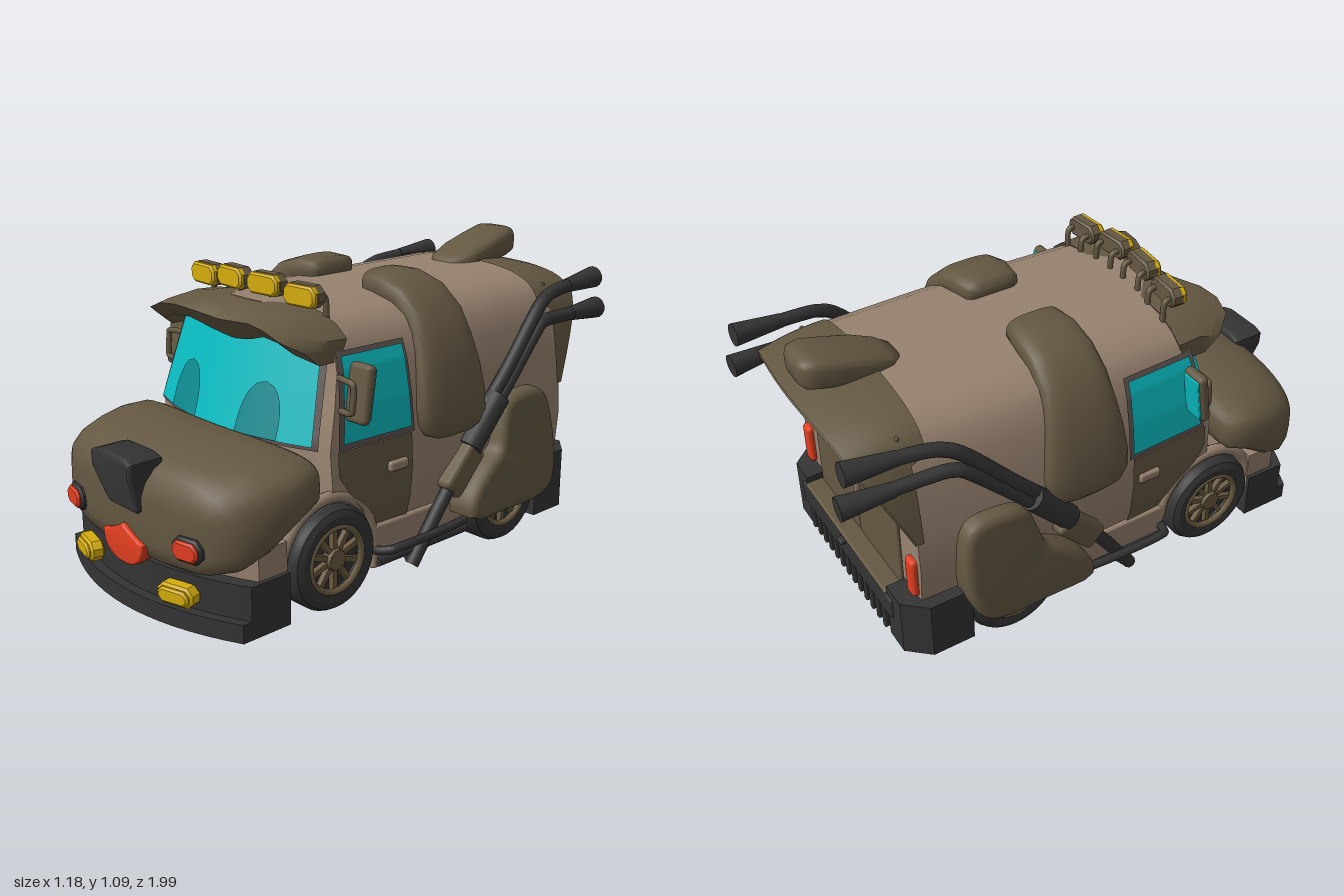
import * as THREE from 'three';
import { toCreasedNormals } from 'three/addons/utils/BufferGeometryUtils.js';
import { RoundedBoxGeometry } from 'three/addons/geometries/RoundedBoxGeometry.js';
import { ParametricGeometry } from 'three/addons/geometries/ParametricGeometry.js';

const V = (x, y, z) => new THREE.Vector3(x, y, z);
const lerp = THREE.MathUtils.lerp;

export function createModel() {
  const M = {};
  const colors = { tan: 0x97826f, brown: 0x645842, black: 0x343434, teal: 0x08babf, darkTeal: 0x0e888d,
    yellow: 0xd4ac0c, red: 0xe03e20, rimBronze: 0x6a5b40, steel: 0x808080, trim: 0x5c5350 };
  for (const k in colors) {
    M[k] = new THREE.MeshStandardMaterial({ color: colors[k] });
    M[k].name = k;
  }
  M.brown.side = M.teal.side = THREE.DoubleSide;

  const model = new THREE.Group();
  model.name = 'van';
  const side = new THREE.Group(); // everything that exists once per side
  side.name = 'leftSide';

  // ---- helpers ----
  const add = (parent, name, geo, mat, x = 0, y = 0, z = 0) => {
    const m = new THREE.Mesh(geo, M[mat]);
    m.name = name;
    m.position.set(x, y, z);
    parent.add(m);
    return m;
  };
  const box = (w, h, d, r = 0.012) => new RoundedBoxGeometry(w, h, d, 2, Math.min(r, w / 2.1, h / 2.1, d / 2.1));
  // skin over closed rings of equal length, capped, always facing outwards
  const loft = (rings, crease = 0.75) => {
    const n = rings[0].length, pts = rings.flat(), idx = [];
    for (let i = 0; i < rings.length - 1; i++) for (let j = 0; j < n; j++) {
      const a = i * n + j, b = i * n + (j + 1) % n;
      idx.push(a, b, a + n, b, b + n, a + n);
    }
    [0, rings.length - 1].forEach((r, k) => {
      const c = V(0, 0, 0);
      rings[r].forEach(p => c.addScaledVector(p, 1 / n));
      pts.push(c);
      for (let j = 0; j < n; j++) {
        const a = r * n + j, b = r * n + (j + 1) % n;
        idx.push(pts.length - 1, k ? a : b, k ? b : a);
      }
    });
    let vol = 0;
    for (let i = 0; i < idx.length; i += 3) vol += pts[idx[i]].dot(pts[idx[i + 1]].clone().cross(pts[idx[i + 2]]));
    if (vol < 0) idx.reverse();
    const g = new THREE.BufferGeometry().setFromPoints(pts);
    g.setIndex(idx);
    return toCreasedNormals(g, crease);
  };
  const sup = (a, e = 0.55) => [Math.cos(a), Math.sin(a)].map(c => Math.sign(c) * Math.abs(c) ** e);
  const angles = n => Array.from({ length: n }, (_, i) => i / n * Math.PI * 2);
  const zRing = (z, w, y0, y1, bend = 0) => angles(36).map(a => {
    const [c, s] = sup(a), x = c * w;
    return V(x, (y0 + y1) / 2 + s * (y1 - y0) / 2, z - bend * x * x);
  });
  const sheet = (f, nu = 16, nv = 8) => new ParametricGeometry((u, v, t) => t.set(...f(u, v)), nu, nv);
  const extrude = (shape, depth, bevel, segs = 3) => toCreasedNormals(new THREE.ExtrudeGeometry(shape, { depth, curveSegments: 10,
    bevelEnabled: bevel > 0, bevelSize: bevel, bevelThickness: bevel, bevelSegments: segs }), 0.6);
  const poly = pts => new THREE.Shape(pts.map(p => new THREE.Vector2(...p)));
  // chamfered octagonal block, back at z = 0
  const octagon = (w, h, d, c, bevel) => {
    const a = w / 2 - bevel, b = h / 2 - bevel;
    return extrude(poly([[c - a, -b], [a - c, -b], [a, c - b], [a, b - c], [a - c, b], [c - a, b], [-a, b - c], [-a, c - b]]),
      d - 2 * bevel, bevel, 1).translate(0, 0, bevel);
  };
  const upright = (pts, y0, y1) => extrude(poly(pts), y1 - y0, 0).rotateX(-Math.PI / 2).translate(0, y0, 0); // plan points (x, -z)
  const tube = (pts, r) => new THREE.TubeGeometry(
    new THREE.CatmullRomCurve3(pts.map(p => V(...p)), false, 'catmullrom', 0.5), pts.length * 8, r, 10);
  const rod = (parent, name, mat, a, b, r0, r1 = r0) => {
    const A = V(...a), B = V(...b), d = B.clone().sub(A);
    const m = add(parent, name, new THREE.CylinderGeometry(r1, r0, d.length(), 14), mat);
    m.position.copy(A).add(B).multiplyScalar(0.5);
    m.quaternion.setFromUnitVectors(V(0, 1, 0), d.normalize());
  };

  // ---- body shell ----
  const prof = [[0.45, 0.2], [0.475, 0.3], [0.485, 0.42], [0.478, 0.54], [0.461, 0.67], [0.437, 0.79], [0.41, 0.86],
    [0.37, 0.913], [0.3, 0.948], [0.2, 0.967], [0.08, 0.975]];
  const taper = z => 1 - 0.1 * Math.max(0, z) - 0.08 * Math.max(0, -z - 0.3);
  const frontZ = (x, y) => 0.57 - 0.34 * Math.max(0, y - 0.55) - 0.5 * x * x;
  const outline = [...prof, ...prof.slice().reverse().map(([x, y]) => [-x, y])];
  const sideX = (y, z) => {
    let i = 0;
    while (i < prof.length - 2 && prof[i + 1][1] < y) i++;
    const [a, b] = [prof[i], prof[i + 1]];
    return lerp(a[0], b[0], (y - a[1]) / (b[1] - a[1])) * taper(z);
  };
  const bodyRings = ['front', 0.1, -0.1, -0.3, -0.5, -0.74].map(s => outline.map(([x, y]) => {
    const z = s === 'front' ? frontZ(x, y) : s;
    return V(x * taper(z), y, z);
  }));
  add(model, 'body', loft(bodyRings), 'tan');

  // ---- windshield with painted eyes ----
  const glass = (w0, w1, y0, y1, off) => sheet((u, v) => {
    const y = lerp(y0, y1, v), x = (2 * u - 1) * lerp(w0, w1, v);
    return [x, y, frontZ(x, y) + off];
  });
  add(model, 'windshieldFrame', glass(0.428, 0.38, 0.545, 0.9, 0.006), 'trim');
  add(model, 'windshield', glass(0.41, 0.36, 0.557, 0.89, 0.012), 'teal');
  for (const s of [-1, 1]) add(model, 'eye', sheet((u, v) => {
    const x = s * 0.197 + (2 * u - 1) * 0.088 * Math.sqrt(1 - v ** 2.6), y = 0.56 + v * 0.178;
    return [x, y, frontZ(x, y) + 0.017];
  }, 8, 16), 'darkTeal');

  // ---- brow visor ----
  const visor = [[0, 0.53, 0.845, 0.965], [0.1, 0.54, 0.86, 0.97], [0.2, 0.565, 0.89, 0.968], [0.28, 0.575, 0.888, 0.958],
    [0.35, 0.565, 0.86, 0.93], [0.4, 0.5, 0.82, 0.89]];
  const visorAll = [...visor.slice(1).reverse().map(([x, ...r]) => [-x, ...r]), ...visor];
  add(model, 'visor', loft(visorAll.map(([x, zf, b, t]) => [V(x, t, 0.33), V(x, t + 0.005, 0.42), V(x, t - 0.01, zf - 0.03),
    V(x, (b + t) / 2 + 0.015, zf + 0.012), V(x, b, zf - 0.05), V(x, b, 0.36)])), 'brown');

  // ---- muzzle, nose, tongue ----
  add(model, 'muzzle', loft([[0.565, 0.47, 0.38, 0.555], [0.59, 0.5, 0.35, 0.566], [0.68, 0.517, 0.31, 0.567],
    [0.78, 0.51, 0.23, 0.557], [0.86, 0.49, 0.19, 0.537], [0.91, 0.455, 0.192, 0.508], [0.94, 0.39, 0.212, 0.47],
    [0.953, 0.25, 0.26, 0.42]].map(([z, w, a, b]) => zRing(z, w, a, b, 0.2)), 1.2), 'brown');
  const nose = extrude(poly([[-0.1, 0.53], [-0.07, 0.54], [0.07, 0.54], [0.1, 0.53], [0.098, 0.49], [0.078, 0.375],
    [0.065, 0.365], [-0.065, 0.365], [-0.078, 0.375], [-0.098, 0.49]]), 0.105, 0.014);
  const np = nose.attributes.position;
  for (let i = 0; i < np.count; i++) np.setZ(i, np.getZ(i) + 0.88 + Math.min(0, np.getY(i) - 0.48) * 0.35);
  add(model, 'nose', nose, 'black');
  const tongue = new THREE.Shape();
  tongue.moveTo(0, 0.295);
  tongue.quadraticCurveTo(0.05, 0.265, 0.105, 0.25);
  tongue.bezierCurveTo(0.105, 0.2, 0.06, 0.17, 0, 0.172);
  tongue.bezierCurveTo(-0.06, 0.17, -0.105, 0.2, -0.105, 0.25);
  tongue.quadraticCurveTo(-0.05, 0.265, 0, 0.295);
  add(model, 'tongue', extrude(tongue, 0.06, 0.008), 'red', 0, 0, 0.899);

  // ---- bumpers ----
  const plan = (front, hw, y0, y1) => {
    const pts = [[hw, -0.66], [-hw, -0.66]];
    for (let i = 0; i <= 16; i++) {
      const x = i / 8 * hw - hw;
      pts.push([x, -(front - 0.5 * x * x)]);
    }
    return upright(pts, y0, y1);
  };
  add(model, 'frontValance', plan(0.89, 0.475, 0.15, 0.3), 'tan');
  add(model, 'frontBumper', plan(0.94, 0.49, 0.07, 0.197), 'black');
  add(model, 'frontBumperLip', plan(0.975, 0.49, 0.015, 0.08), 'black');
  add(model, 'rearBumperBar', box(0.74, 0.09, 0.1), 'black', 0, 0.2, -0.77);
  add(model, 'rearStep', box(0.66, 0.02, 0.11), 'brown', 0, 0.25, -0.765);
  add(model, 'hitch', box(0.04, 0.02, 0.06), 'black', 0, 0.235, -0.81);
  add(side, 'rearBumperCorner', upright([[0.33, 0.81], [0.33, 0.7], [0.42, 0.57], [0.502, 0.57], [0.502, 0.73], [0.43, 0.81]],
    0.05, 0.28), 'black');
  for (let i = 0; i < 13; i++) add(model, 'rearTooth', box(0.022, 0.12, 0.09, 0.005), 'black', (i - 6) * 0.05, 0.12, -0.775);

  // ---- rear doors, hood and tail ----
  add(side, 'rearDoor', box(0.322, 0.62, 0.02, 0.008), 'brown', 0.164, 0.555, -0.742);
  add(model, 'rearDoorHeader', box(0.74, 0.08, 0.012, 0.004), 'brown', 0, 0.88, -0.738);
  add(side, 'rearWindowFrame', box(0.27, 0.27, 0.008, 0.003), 'trim', 0.165, 0.7, -0.752);
  add(side, 'rearWindow', box(0.25, 0.25, 0.008, 0.003), 'teal', 0.165, 0.7, -0.756);
  add(side, 'rearHandle', box(0.018, 0.09, 0.025), 'tan', 0.04, 0.5, -0.758);
  add(side, 'tailLight', box(0.055, 0.16, 0.05, 0.015), 'red', 0.415, 0.37, -0.738);
  const hoodCurve = new THREE.CatmullRomCurve3(outline.slice(3, -3).map(([x, y]) => V(x, y, 0)));
  const hood = o => sheet((u, v) => {
    const p = hoodCurve.getPoint(u), h = Math.min(1, Math.max(0, (p.y - 0.54) / 0.36));
    const z = lerp(p.y > 0.84 ? -0.66 : -0.72, -0.745 - 0.14 * h - 0.06 * (1 - (p.x / 0.48) ** 2) * h, v);
    return [p.x * (taper(-0.72) + o), p.y + o * 0.4 - 0.04 * v * v * h, z];
  }, 48, 6);
  add(model, 'rearHood', hood(0.015), 'brown');
  add(model, 'rearHoodLining', hood(-0.02), 'brown');
  add(model, 'tail', loft([[-0.56, 0.05, 0.95, 0.98], [-0.6, 0.085, 0.94, 1.0], [-0.68, 0.098, 0.94, 1.035], [-0.78, 0.1, 0.95, 1.065],
    [-0.86, 0.097, 0.965, 1.087], [-0.9, 0.085, 0.975, 1.083], [-0.915, 0.06, 0.99, 1.07]].map(r => zRing(...r)), 1.2), 'brown');

  // ---- floppy ears draped over the roof ----
  const ear = [[0.118, 0.98, 0.08, 0.03], [0.135, 0.985, 0.105, 0.05], [0.22, 0.984, 0.118, 0.052], [0.31, 0.958, 0.122, 0.05],
    [0.385, 0.898, 0.127, 0.046], [0.428, 0.81, 0.138, 0.045], [0.456, 0.72, 0.152, 0.046], [0.474, 0.62, 0.165, 0.046],
    [0.482, 0.55, 0.162, 0.045], [0.485, 0.51, 0.135, 0.04], [0.485, 0.492, 0.09, 0.025]];
  add(side, 'ear', loft(ear.map(([x, y, w, t], i) => {
    const a = ear[Math.max(0, i - 1)], b = ear[Math.min(ear.length - 1, i + 1)];
    const d = V(b[0] - a[0], b[1] - a[1], 0).normalize();
    return angles(24).map(q => {
      const [c, s] = sup(q, 0.65);
      return V(x - d.y * t * c, y + d.x * t * c, -0.1 + w * s);
    });
  }), 1.2), 'brown');

  // ---- hind leg over the rear wheel ----
  const legShape = new THREE.Shape(new THREE.CatmullRomCurve3([[0.145, 0.205], [0.16, 0.25], [0.24, 0.32], [0.32, 0.375], [0.35, 0.46],
    [0.38, 0.53], [0.46, 0.55], [0.55, 0.54], [0.575, 0.49], [0.575, 0.28], [0.53, 0.21], [0.3, 0.197]].map(([a, b]) => V(a, b, 0)), true)
    .getPoints(44).slice(0, -1).map(p => new THREE.Vector2(p.x, p.y)));
  const leg = extrude(legShape, 0.1, 0.028).rotateY(Math.PI / 2);
  const lp = leg.attributes.position;
  for (let i = 0; i < lp.count; i++) lp.setX(i, lp.getX(i) + 0.46 - 0.17 * (lp.getY(i) - 0.2));
  add(side, 'hindLeg', leg, 'brown');

  // ---- side doors and windows ----
  const panel = (y0, y1, zb, zf, off) => sheet((u, v) => {
    const y = lerp(y0, y1, v), z = lerp(zf(y), zb, u);
    return [sideX(y, z) + off, y, z];
  }, 6, 16);
  add(side, 'windowFrame', panel(0.54, 0.855, 0.085, y => 0.425 - 0.13 * (y - 0.54), 0.006), 'trim');
  add(side, 'sideWindow', panel(0.56, 0.84, 0.1, y => 0.405 - 0.13 * (y - 0.56), 0.011), 'teal');
  add(side, 'sideDoor', panel(0.21, 0.538, 0.1, y => (y > 0.45 ? 0.43 : lerp(0.25, 0.43, (y - 0.21) / 0.24)), 0.008), 'brown');
  add(side, 'doorHandle', box(0.024, 0.038, 0.09), 'tan', 0.485, 0.44, 0.17);
  add(side, 'sill', box(0.08, 0.16, 0.46), 'tan', 0.43, 0.155, 0.04);

  // ---- wing mirrors ----
  const mirror = new THREE.Group();
  mirror.name = 'wingMirror';
  mirror.position.set(0.49, 0.73, 0.355);
  mirror.rotation.x = -0.15;
  add(mirror, 'mirrorShell', box(0.1, 0.2, 0.04, 0.018), 'brown');
  add(mirror, 'mirrorGlass', box(0.08, 0.17, 0.008, 0.003), 'teal', 0, 0, -0.021);
  side.add(mirror);
  add(side, 'mirrorBracket', tube([[0.41, 0.775, 0.34], [0.42, 0.775, 0.385], [0.49, 0.77, 0.395], [0.5, 0.75, 0.395], [0.5, 0.69, 0.4],
    [0.49, 0.67, 0.4], [0.43, 0.67, 0.395], [0.42, 0.67, 0.36]], 0.011), 'brown');

  // ---- lamps ----
  const lamp = (name, x, y, z, w, h, rim, mat, back, yaw) => {
    const g = new THREE.Group();
    g.name = name;
    g.position.set(x, y, z);
    g.rotation.y = yaw;
    add(g, 'housing', octagon(w, h, 0.05, h * 0.25, 0.008), back, 0, 0, -0.025);
    add(g, 'lens', octagon(w - rim, h - rim, 0.03, h * 0.2, 0.007), mat, 0, 0, 0.006);
    side.add(g);
  };
  lamp('headLamp', 0.315, 0.3, 0.918, 0.124, 0.084, 0.018, 'red', 'black', 0.2);
  lamp('fogLamp', 0.255, 0.13, 0.928, 0.145, 0.072, 0.02, 'yellow', 'yellow', 0.25);
  [[0.085, 1.035, 0.395], [0.255, 1.02, 0.38]].forEach(([x, y, z]) => {
    lamp('roofLamp', x, y, z, 0.148, 0.076, 0.004, 'yellow', 'brown', 0.08);
    for (const d of [-0.045, 0.045]) add(side, 'lampStand', tube([[x + d, y, z - 0.01], [x + d, y - 0.005, z - 0.04],
      [x + d, y - 0.03, z - 0.05], [x + d, 0.92, z - 0.05]], 0.011), 'brown');
  });

  // ---- wheels ----
  const tyre = new THREE.LatheGeometry([[0.1, -0.06], [0.15, -0.07], [0.172, -0.06], [0.183, -0.04], [0.183, 0.04], [0.172, 0.06],
    [0.15, 0.07], [0.122, 0.066], [0.114, 0.03]].map(p => new THREE.Vector2(...p)), 36);
  for (const z of [0.465, -0.395]) {
    const w = new THREE.Group();
    w.name = 'wheel';
    w.position.set(0.435, 0.183, z);
    w.rotation.z = -Math.PI / 2;
    add(w, 'tyre', toCreasedNormals(tyre, 0.5), 'black');
    add(w, 'wheelDisc', new THREE.CylinderGeometry(0.12, 0.12, 0.09, 28), 'black', 0, -0.01, 0);
    add(w, 'rim', new THREE.TorusGeometry(0.114, 0.012, 6, 32).rotateX(Math.PI / 2), 'rimBronze', 0, 0.058, 0);
    add(w, 'hub', new THREE.CylinderGeometry(0.036, 0.042, 0.035, 10), 'rimBronze', 0, 0.05, 0);
    for (let i = 0; i < 10; i++) {
      const s = add(w, 'spoke', new THREE.BoxGeometry(0.09, 0.02, 0.019).translate(0.07, 0, 0), 'rimBronze', 0, 0.045, 0);
      s.rotation.y = i * Math.PI / 5;
    }
    side.add(w);
    add(side, 'wheelArch', new THREE.TorusGeometry(0.205, 0.022, 8, 24, Math.PI).rotateY(Math.PI / 2), 'tan', 0.45, 0.183, z);
  }

  // ---- side exhaust stacks and step bars ----
  add(side, 'lowerStack', tube([[0.49, 0.05, 0.1], [0.5, 0.3, -0.08], [0.5, 0.53, -0.3], [0.485, 0.76, -0.53], [0.475, 0.807, -0.6],
    [0.46, 0.808, -0.7], [0.445, 0.8, -0.9]], 0.025), 'black');
  rod(side, 'lowerStackTip', 'black', [0.452, 0.803, -0.8], [0.438, 0.798, -0.985], 0.026, 0.042);
  add(side, 'upperStack', tube([[0.49, 0.48, -0.2], [0.49, 0.65, -0.37], [0.475, 0.84, -0.55], [0.462, 0.893, -0.63],
    [0.45, 0.91, -0.72], [0.44, 0.917, -0.88]], 0.025), 'black');
  rod(side, 'upperStackTip', 'black', [0.445, 0.914, -0.78], [0.435, 0.922, -0.96], 0.026, 0.042);
  rod(side, 'stackCollar', 'black', [0.497, 0.42, -0.18], [0.497, 0.58, -0.33], 0.046);
  const silencer = add(side, 'silencer', box(0.07, 0.1, 0.2, 0.02), 'brown', 0.495, 0.35, -0.14);
  silencer.rotation.x = 0.8;
  add(side, 'stepBar', tube([[0.4, 0.13, 0.26], [0.5, 0.15, 0.245], [0.53, 0.16, 0.2], [0.53, 0.16, 0], [0.52, 0.16, -0.14]], 0.016), 'black');
  rod(side, 'lowerStepBar', 'black', [0.47, 0.1, 0.25], [0.47, 0.1, -0.2], 0.018);

  // ---- underside ----
  add(model, 'chassis', box(0.66, 0.1, 1.2), 'brown', 0, 0.17, 0.03);
  add(model, 'skidPlate', box(0.42, 0.03, 0.4), 'black', 0, 0.115, 0.2);
  for (const z of [0.465, -0.395]) rod(model, 'axle', 'black', [-0.4, 0.16, z], [0.4, 0.16, z], 0.03);
  rod(model, 'underSilencer', 'steel', [-0.12, 0.12, -0.55], [0.12, 0.12, -0.55], 0.06);
  add(side, 'underPipe', tube([[0.49, 0.06, 0.09], [0.36, 0.08, 0.02], [0.28, 0.1, -0.1], [0.27, 0.1, -0.4], [0.2, 0.11, -0.55],
    [0.1, 0.12, -0.55]], 0.022), 'black');

  // mirror the left side to the right
  const right = side.clone();
  right.name = 'rightSide';
  right.scale.x = -1;
  model.add(side, right);
  return model;
}
